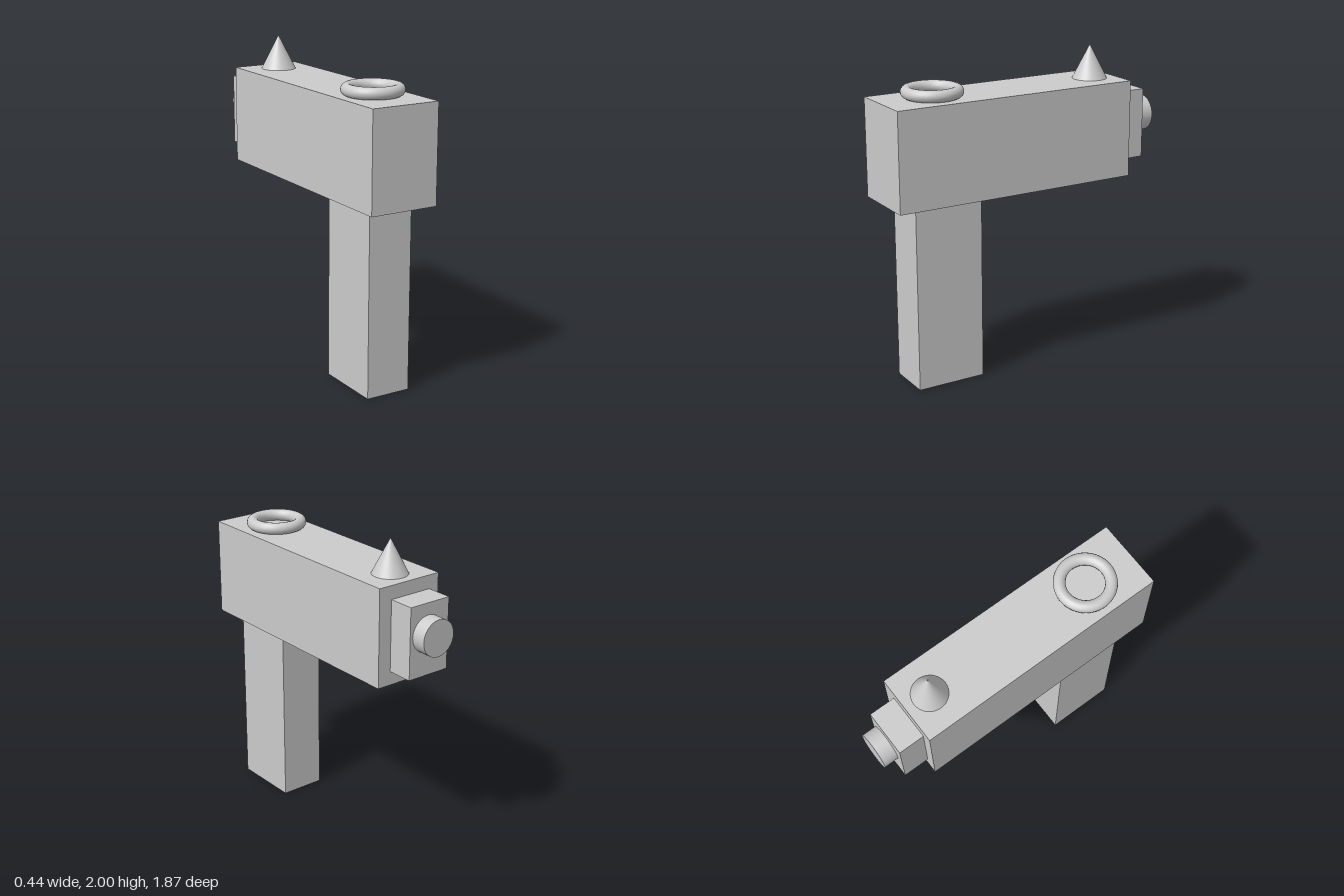
import * as THREE from 'three';

export function createModel() {
  const model = new THREE.Group();
  const material = new THREE.MeshStandardMaterial({ color: 0xcccccc });

  function add(name, geometry, x, y, z) {
    const mesh = new THREE.Mesh(geometry, material);
    mesh.name = name;
    mesh.position.set(x, y, z);
    model.add(mesh);
    return mesh;
  }

  // Box given by its lower and upper corners
  function block(name, [x0, y0, z0], [x1, y1, z1]) {
    return add(name, new THREE.BoxGeometry(x1 - x0, y1 - y0, z1 - z0),
      (x0 + x1) / 2, (y0 + y1) / 2, (z0 + z1) / 2);
  }

  // Main blocks
  block('body', [-0.222, 1.17, -0.68], [0.222, 1.785, 0.937]);
  block('grip', [-0.145, 0, 0.355], [0.145, 1.17, 0.8]);
  block('muzzleBlock', [-0.155, 1.255, -0.845], [0.133, 1.7, -0.68]);

  // Round muzzle on the end block
  const muzzle = add('muzzle', new THREE.CylinderGeometry(0.114, 0.114, 0.093, 32), 0, 1.512, -0.8905);
  muzzle.rotation.x = Math.PI / 2;

  // Sights on the top
  add('frontSight', new THREE.ConeGeometry(0.11, 0.215, 32), 0.005, 1.8925, -0.515);
  const ring = add('rearSightRing', new THREE.TorusGeometry(0.152, 0.037, 16, 48), 0, 1.822, 0.6);
  ring.rotation.x = Math.PI / 2;

  return model;
}
